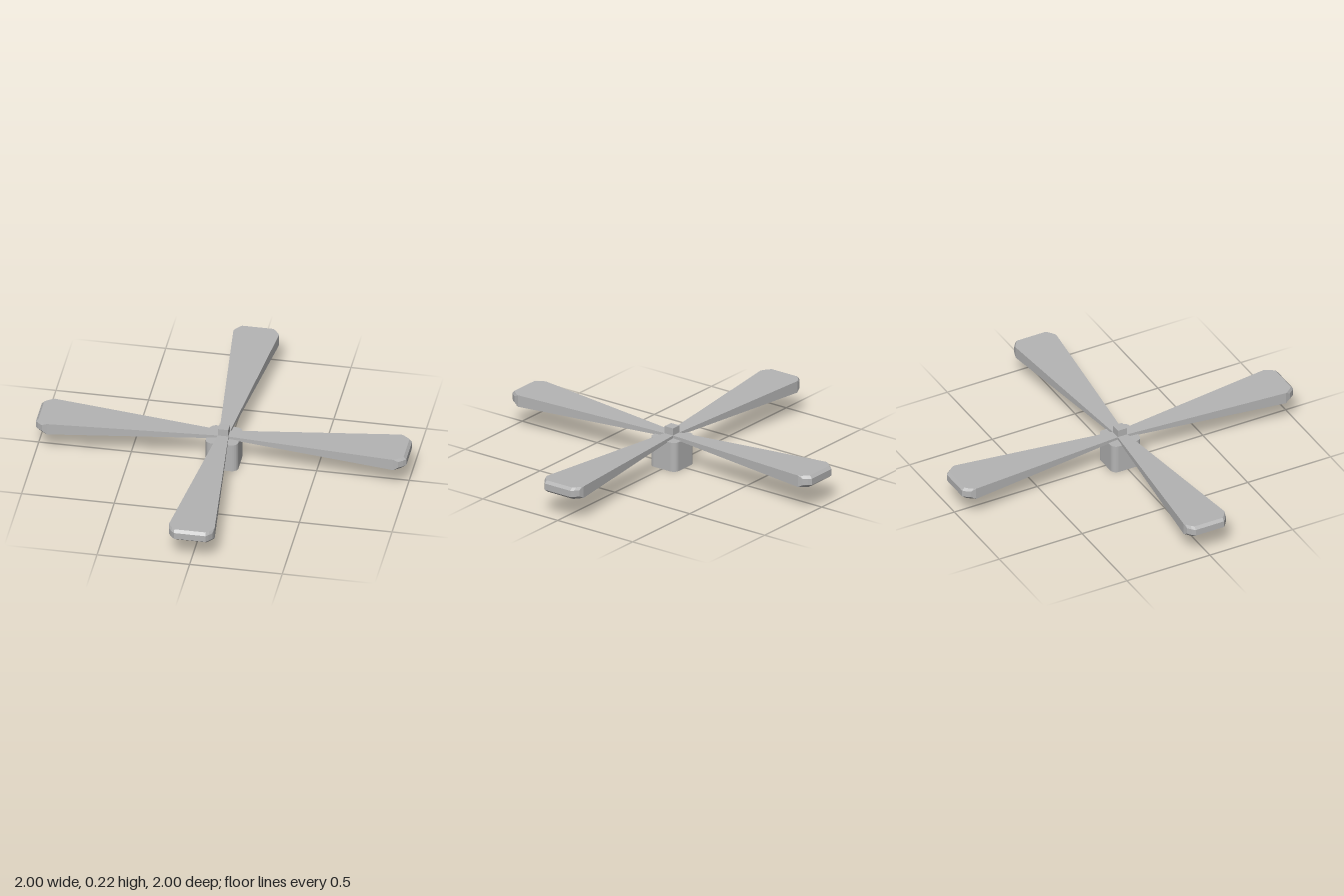
import * as THREE from 'three';
import { ConvexGeometry } from 'three/addons/geometries/ConvexGeometry.js';

// Half of the blade outline, from the root to the tip: [distance, half width]
const outline = [[0, 0.026], [0.935, 0.123], [0.962, 0.117], [0.985, 0.1], [1, 0.085]];
// Layers across the thickness: [height fraction, tip inset]
const layers = [[-1, 0.022], [-0.5, 0], [0.55, 0], [1, 0.014]];
const midY = 0.171;

function bladeGeometry() {
  const points = [];
  for (const [f, inset] of layers) {
    outline.forEach(([x, w], i) => {
      const px = x - (i > 1 ? inset : 0);
      const y = midY + f * (0.008 + 0.0265 * px);
      for (const s of [-1, 1]) points.push(new THREE.Vector3(px, y, s * w));
    });
  }
  return new ConvexGeometry(points);
}

// Square outline with rounded corners
function roundedSquare(half, r) {
  const s = new THREE.Shape();
  const c = half - r;
  for (let i = 0; i < 4; i++) {
    const a = i * Math.PI / 2;
    const sx = i === 0 || i === 3 ? 1 : -1;
    const sy = i < 2 ? 1 : -1;
    s.absarc(sx * c, sy * c, r, a, a + Math.PI / 2, false);
  }
  s.closePath();
  return s;
}

export function createModel() {
  const model = new THREE.Group();
  model.name = 'propeller';
  const grey = new THREE.MeshStandardMaterial({ color: 0xb4b4b4, name: 'grey', flatShading: true });

  // Four tapered blades meeting at the centre
  const blade = bladeGeometry();
  for (let i = 0; i < 4; i++) {
    const mesh = new THREE.Mesh(blade, grey);
    mesh.name = 'blade' + (i + 1);
    mesh.rotation.y = i * Math.PI / 2;
    model.add(mesh);
  }

  // Hub below the blades
  const hubGeo = new THREE.ExtrudeGeometry(roundedSquare(0.088, 0.034), {
    depth: 0.165, bevelEnabled: false, curveSegments: 4,
  });
  hubGeo.rotateX(-Math.PI / 2);
  const hub = new THREE.Mesh(hubGeo, grey);
  hub.name = 'hub';
  model.add(hub);

  // Small pin on top
  const pin = new THREE.Mesh(new THREE.BoxGeometry(0.056, 0.06, 0.056), grey);
  pin.name = 'pin';
  pin.position.y = 0.19;
  model.add(pin);

  return model;
}
